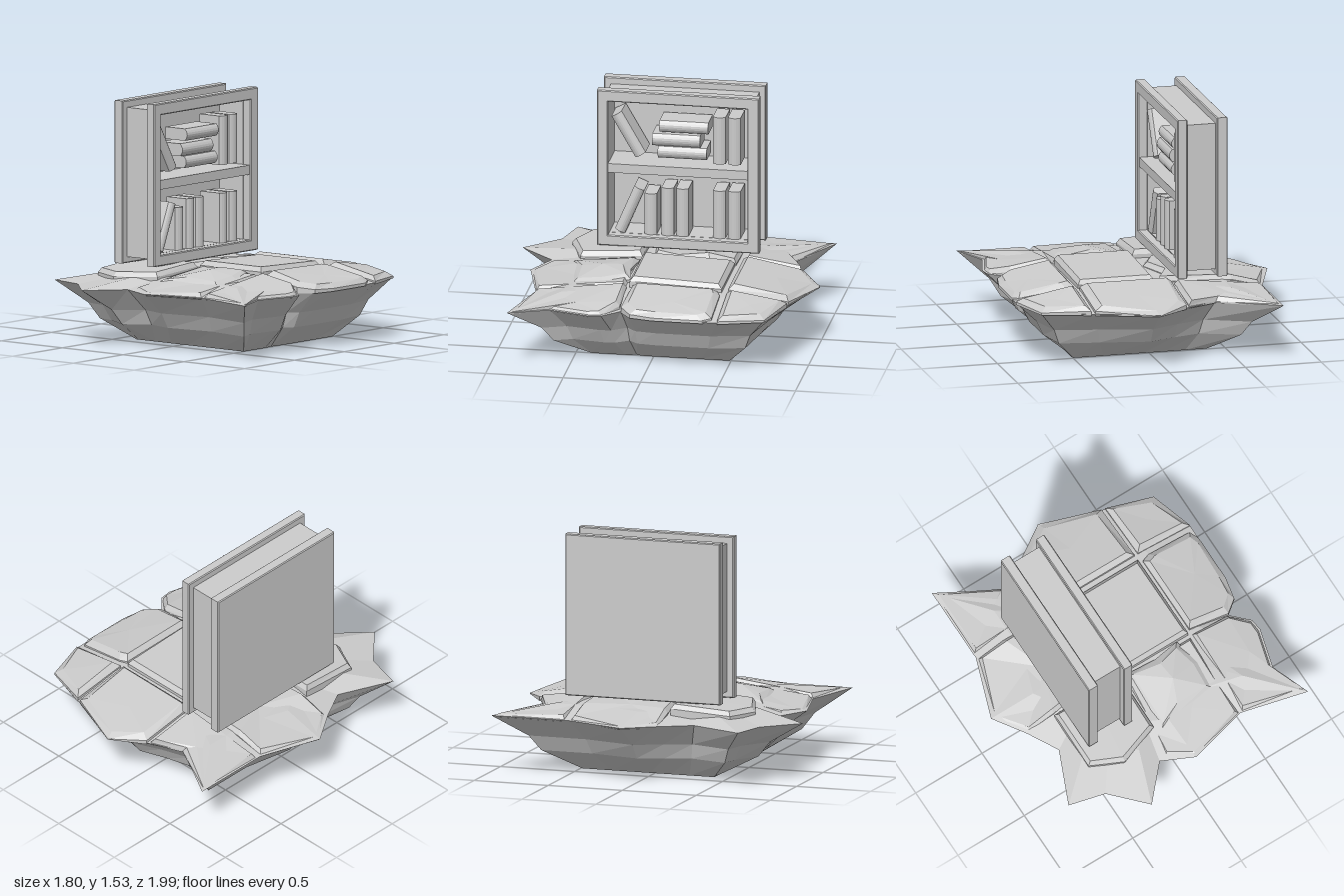
import * as THREE from 'three';

const grey = (extra = {}) => new THREE.MeshStandardMaterial({ color: 0xcccccc, flatShading: true, ...extra });

// Faceted skin through rings of [x, y, z] points, from the top ring to the bottom one.
// Rings run clockwise as seen from above.
function loft(name, rings) {
  const pos = [];
  for (let r = 0; r < rings.length - 1; r++) {
    const a = rings[r], b = rings[r + 1], n = a.length;
    for (let i = 0; i < n; i++) {
      const j = (i + 1) % n;
      if (a[i] !== a[j]) pos.push(...a[i], ...a[j], ...b[j]);
      if (b[i] !== b[j]) pos.push(...a[i], ...b[j], ...b[i]);
    }
  }
  const g = new THREE.BufferGeometry();
  g.setAttribute('position', new THREE.Float32BufferAttribute(pos, 3));
  g.computeVertexNormals();
  const m = new THREE.Mesh(g, grey());
  m.name = name;
  return m;
}

// Jagged floating rock: spiky rim tapering to a square foot
function rockBase() {
  const rim = [
    [-0.76, -0.97], [-0.37, -0.75], [-0.15, -0.86], [0.06, -1], [0.46, -0.86], [0.78, -0.76],
    [0.87, -0.47], [0.87, -0.05], [0.84, 0.1], [0.75, 0.17], [0.86, 0.28], [0.87, 0.36],
    [0.8, 0.62], [0.9, 0.88], [0.46, 0.77], [0.06, 0.87], [-0.15, 0.77], [-0.35, 0.99],
    [-0.56, 0.77], [-0.8, 0.71], [-0.65, 0.36], [-0.76, 0.16], [-0.9, -0.05], [-0.76, -0.45],
  ];
  const clamp = THREE.MathUtils.clamp, mix = THREE.MathUtils.lerp;
  const foot = ([x, z]) => [clamp(x * 0.65, -0.38, 0.5), clamp(z * 0.65, -0.49, 0.4)];
  const lower = (t, y) => rim.map(p => {
    const f = foot(p);
    return [mix(f[0], p[0], t), y, mix(f[1], p[1], t)];
  });
  const centre = y => { const c = [0.05, y, -0.03]; return rim.map(() => c); };
  const upper = (s, y) => rim.map(([x, z]) => [x * s, y, z * s]);
  return loft('rockBase', [
    centre(0.45), upper(0.66, 0.435), upper(1, 0.38),
    lower(0.59, 0.235), lower(0.45, 0.135), lower(0, 0), centre(0),
  ]);
}

// Stone slab with chamfered edges; outline points are [x, z, top height]
function slab(name, pts, bevel = 0.04, rise = 0) {
  const n = pts.length;
  const [cx, cz, cy] = [0, 1, 2].map(k => pts.reduce((s, p) => s + p[k], 0) / n);
  const centre = [cx, cy + rise, cz];
  const inset = ([x, z, y]) => {
    const d = Math.hypot(cx - x, cz - z), k = bevel * 1.3 / d;
    return [x + (cx - x) * k, y, z + (cz - z) * k];
  };
  return loft(name, [
    pts.map(() => centre), pts.map(inset),
    pts.map(([x, z, y]) => [x, Math.max(y - 0.03, 0.375), z]),
    pts.map(([x, z]) => [x, 0.37, z]),
  ]);
}

function ground() {
  const g = new THREE.Group();
  g.name = 'ground';
  g.add(
    rockBase(),
    slab('backLeftSlab', [[-0.75, -0.95, 0.39], [-0.37, -0.755, 0.41], [-0.17, -0.84, 0.42], [-0.17, -0.48, 0.47], [-0.75, -0.48, 0.41]], 0.02),
    slab('backMiddleSlab', [[-0.15, -0.86, 0.43], [0.06, -1, 0.4], [0.45, -0.86, 0.43], [0.45, -0.47, 0.49], [-0.15, -0.47, 0.49]]),
    slab('backRightSlab', [[0.475, -0.855, 0.43], [0.78, -0.76, 0.415], [0.87, -0.47, 0.42], [0.475, -0.47, 0.48]]),
    slab('leftSlab', [[-0.89, -0.05, 0.385], [-0.75, -0.435, 0.41], [-0.56, -0.44, 0.46], [-0.07, -0.435, 0.48], [-0.15, -0.25, 0.48], [-0.08, -0.05, 0.48], [-0.15, 0.1, 0.48], [-0.56, 0.15, 0.46], [-0.75, 0.15, 0.4]], 0.02),
    slab('middleSlab', [[-0.05, -0.43, 0.49], [0.45, -0.43, 0.49], [0.45, 0.165, 0.51], [-0.05, 0.165, 0.51]], 0.025),
    slab('rightSlab', [[0.475, -0.41, 0.48], [0.53, -0.43, 0.475], [0.84, -0.43, 0.43], [0.87, -0.37, 0.42], [0.87, -0.05, 0.42], [0.84, 0.1, 0.425], [0.75, 0.17, 0.44], [0.475, 0.14, 0.49]], 0.035),
    slab('frontLeftSlab', [[-0.56, 0.17, 0.49], [-0.07, 0.17, 0.5], [-0.07, 0.57, 0.475], [-0.35, 0.67, 0.465], [-0.56, 0.57, 0.465]], 0.02),
    slab('frontMiddleMound', [[-0.04, 0.18, 0.48], [0.18, 0.2, 0.5], [0.36, 0.17, 0.49], [0.42, 0.35, 0.47], [0.4, 0.55, 0.45], [0.12, 0.57, 0.46], [-0.04, 0.62, 0.44]], 0.04, 0.03),
    slab('frontMiddleSlab', [[-0.05, 0.19, 0.47], [0.45, 0.19, 0.47], [0.45, 0.765, 0.41], [0.06, 0.86, 0.39], [-0.1, 0.76, 0.4]], 0.02),
    slab('frontRightSlab', [[0.475, 0.18, 0.48], [0.73, 0.18, 0.44], [0.85, 0.28, 0.405], [0.86, 0.36, 0.4], [0.79, 0.62, 0.4], [0.89, 0.865, 0.385], [0.475, 0.765, 0.41]], 0.02),
  );
  return g;
}

// Rectangle in the bookcase plane, u = -z
function rect(path, u0, u1, y0, y1) {
  path.moveTo(u0, y0); path.lineTo(u1, y0); path.lineTo(u1, y1); path.lineTo(u0, y1); path.closePath();
  return path;
}

// Rectangular panel standing across x, with an optional square hole
function panel(name, x0, x1, outer, hole, bevel = 0) {
  const shape = rect(new THREE.Shape(), outer[0] + bevel, outer[1] - bevel, outer[2] + bevel, outer[3] - bevel);
  if (hole) shape.holes.push(rect(new THREE.Path(), hole[0] - bevel, hole[1] + bevel, hole[2] - bevel, hole[3] + bevel));
  const geo = new THREE.ExtrudeGeometry(shape, {
    depth: x1 - x0 - 2 * bevel, bevelEnabled: bevel > 0, bevelSize: bevel, bevelThickness: bevel, bevelSegments: 1,
  });
  geo.rotateY(Math.PI / 2);
  const m = new THREE.Mesh(geo, grey());
  m.name = name;
  m.position.x = x0 + bevel;
  return m;
}

// Small book with a rounded spine towards +x; u, y is its centre
function smallBook([u, y, thick, tall, tilt]) {
  const w = thick / 2, s = new THREE.Shape();
  s.moveTo(-0.18, -w);
  s.lineTo(-0.02, -w);
  s.quadraticCurveTo(0.02, 0, -0.02, w);
  s.lineTo(-0.18, w);
  s.closePath();
  const geo = new THREE.ExtrudeGeometry(s, { depth: tall, bevelEnabled: false, curveSegments: 6 });
  geo.translate(0, 0, -tall / 2);
  geo.rotateX(-Math.PI / 2);
  const m = new THREE.Mesh(geo, grey());
  m.name = 'smallBook';
  m.position.set(-0.22, y, -u);
  m.rotation.x = tilt;
  return m;
}

// Giant standing book hollowed out as a bookcase
function bookcase() {
  const g = new THREE.Group();
  g.name = 'bookcase';
  const cover = [-0.48, 0.565, 0.49, 1.535], pages = [-0.435, 0.525, 0.53, 1.49], opening = [-0.41, 0.49, 0.56, 1.46];
  g.add(
    panel('backCover', -0.5, -0.43, cover, null, 0.006),
    panel('pageBlock', -0.432, -0.233, pages, opening),
    panel('frontCoverFrame', -0.235, -0.17, cover, opening, 0.006),
    panel('shelf', -0.43, -0.18, [-0.41, 0.49, 0.98, 1.04]),
  );
  const deg = Math.PI / 180;
  const books = [
    [-0.288, 1.225, 0.075, 0.31, 30 * deg], [-0.28, 0.72, 0.07, 0.32, -23 * deg], [-0.145, 0.698, 0.08, 0.275, 0],
    [0.06, 1.118, 0.077, 0.315, Math.PI / 2], [0.02, 1.2, 0.08, 0.31, Math.PI / 2], [0.07, 1.292, 0.077, 0.315, Math.PI / 2],
  ];
  for (const u of [0.298, 0.395]) books.push([u, 1.218, 0.082, 0.315, 0]);
  for (const u of [-0.035, 0.06, 0.298, 0.395]) books.push([u, 0.72, 0.08, 0.32, 0]);
  books.forEach(b => g.add(smallBook(b)));
  return g;
}

export function createModel() {
  const model = new THREE.Group();
  model.name = 'bookcaseOnRock';
  model.add(ground(), bookcase());
  return model;
}
